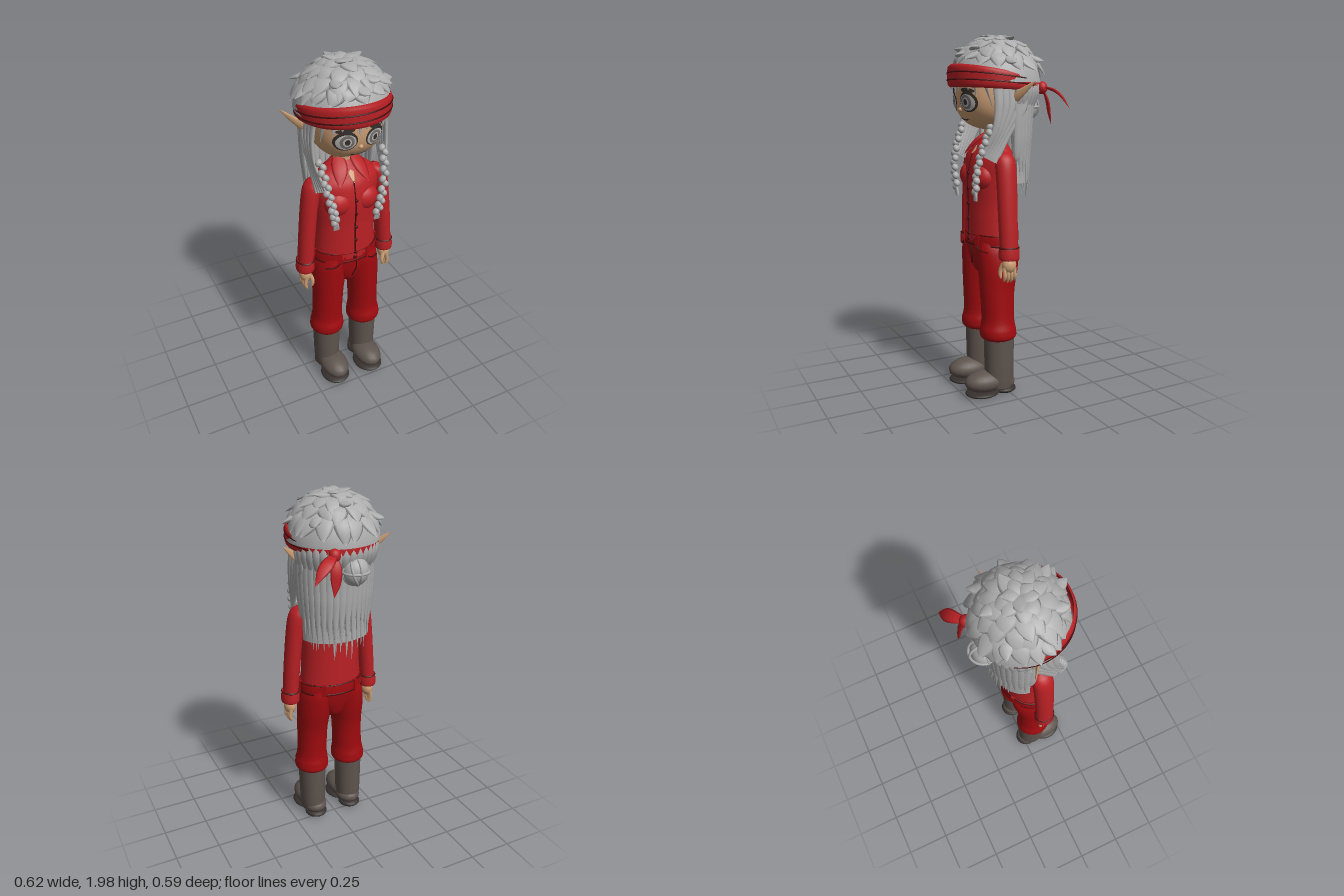
import * as THREE from 'three';
import { ParametricGeometry } from 'three/addons/geometries/ParametricGeometry.js';

const paint = (name, color) => {
  const m = new THREE.MeshStandardMaterial({ color, side: THREE.DoubleSide });
  m.name = name;
  return m;
};
const V = (x, y, z) => new THREE.Vector3(x, y, z);
const spline = (pts) => new THREE.CatmullRomCurve3(pts, false, 'catmullrom', 0.5);

// Smooth body through elliptical sections listed upward: [y, cx, cz, rx, rz]
function loft(rows, stacks = 24, slices = 32) {
  const mid = spline(rows.map((r) => V(r[1], r[0], r[2])));
  const rad = spline(rows.map((r) => V(r[3], r[4], 0)));
  return new ParametricGeometry((u, v, p) => {
    const c = mid.getPoint(v), r = rad.getPoint(v), a = u * Math.PI * 2;
    p.set(c.x + Math.sin(a) * r.x, c.y, c.z + Math.cos(a) * r.y);
  }, slices, stacks);
}

// Flattened tapering lock along a path; 'out' is the thin direction
const leaf = (v) => Math.max(0.03, Math.sin(Math.PI * (0.22 + 0.78 * v)) ** 0.8);
const spike = (v) => Math.max(0.03, (1 - v) ** 0.7);
const even = () => 1;
const strandTip = (v) => Math.max(0.03, Math.min(1, (1 - v) * 2.2));
function lock(pts, out, w, t, shape = leaf, stacks = 9, slices = 8) {
  const path = spline(pts);
  return new ParametricGeometry((u, v, p) => {
    const T = path.getTangent(v), s = T.clone().cross(out).normalize();
    const n = T.clone().cross(s), a = u * Math.PI * 2, f = shape(v);
    p.copy(path.getPoint(v)).addScaledVector(s, w * f * Math.cos(a)).addScaledVector(n, t * f * Math.sin(a));
  }, slices, stacks);
}

let seed = 7;
const rand = () => (seed = (seed * 16807) % 2147483647) / 2147483647;

// Rounded boxy head surface
const HEAD = { a: 0.185, b: 0.2, c: 0.21, y: 1.68, z: 0.025, n: 2.5 };
const headZ = (x, y) => HEAD.z + HEAD.c * Math.max(0, 1 - Math.abs(x / HEAD.a) ** HEAD.n
  - Math.abs((y - HEAD.y) / HEAD.b) ** HEAD.n) ** (1 / HEAD.n);

export function createModel() {
  const root = new THREE.Group();
  const hair = paint('hairGrey', 0xacacac), shirt = paint('shirtRed', 0xb82024);
  const pants = paint('trouserRed', 0xa00b0f), skin = paint('skin', 0xcd9f75);
  const boot = paint('bootBrown', 0x5e544e), sole = paint('soleDark', 0x36302d);
  const seam = paint('seamDark', 0x420a0b), white = paint('eyeLight', 0xbcb8b5);
  const iris = paint('irisGrey', 0x75706d);
  const add = (name, geo, mat, parent = root) => {
    const m = new THREE.Mesh(geo, mat);
    m.name = name;
    parent.add(m);
    return m;
  };
  const group = (name) => {
    const g = new THREE.Group();
    g.name = name;
    root.add(g);
    return g;
  };
  const ball = (name, mat, c, r, parent = root) => {
    const m = add(name, new THREE.SphereGeometry(1, 20, 14), mat, parent);
    m.position.set(...c);
    m.scale.set(...r);
    return m;
  };

  // Shirt body, bust, collar, placket and buttons
  add('shirtBody', loft([[0.88, 0, 0.05, 0.18, 0.132], [1.0, 0, 0.05, 0.172, 0.13], [1.1, 0, 0.05, 0.17, 0.128],
    [1.22, 0, 0.053, 0.178, 0.13], [1.32, 0, 0.05, 0.188, 0.118], [1.375, 0, 0.045, 0.16, 0.095],
    [1.42, 0, 0.04, 0.1, 0.07], [1.45, 0, 0.035, 0.058, 0.055]], 36), shirt);
  add('placket', lock([V(0, 1.355, 0.157), V(0, 1.22, 0.186), V(0, 1.1, 0.181), V(0, 0.92, 0.183)], V(0, 0, 1), 0.004, 0.004, even), seam);
  for (let i = 0; i < 5; i++) ball('button', seam, [0.004, 1.25 - i * 0.083, 0.184], [0.01, 0.01, 0.006]);
  add('neck', new THREE.CylinderGeometry(0.05, 0.052, 0.14, 24).translate(0, 1.47, 0.03), skin);
  add('choker', new THREE.TorusGeometry(0.051, 0.004, 6, 28).rotateX(Math.PI / 2).translate(0, 1.43, 0.031), seam);
  add('openNeck', lock([V(0, 1.44, 0.085), V(0, 1.395, 0.122), V(0, 1.35, 0.164)], V(0, 0.6, 0.8), 0.034, 0.008, spike), skin);

  for (const s of [1, -1]) {
    ball('bust', shirt, [s * 0.075, 1.23, 0.125], [0.08, 0.075, 0.065]);
    add('collarFlap', lock([V(s * 0.045, 1.46, 0.06), V(s * 0.06, 1.41, 0.118), V(s * 0.085, 1.345, 0.168)],
      V(s * 0.3, 0.5, 0.8), 0.042, 0.009), shirt);

    // Arms
    add('sleeve', loft([[0.83, s * 0.247, 0.06, 0.043, 0.05], [1.0, s * 0.234, 0.06, 0.045, 0.053],
      [1.2, s * 0.215, 0.058, 0.046, 0.056], [1.31, s * 0.196, 0.056, 0.048, 0.056],
      [1.355, s * 0.182, 0.054, 0.035, 0.042], [1.375, s * 0.172, 0.05, 0.004, 0.004]]), shirt);
    add('cuff', loft([[0.805, s * 0.248, 0.06, 0.03, 0.035], [0.81, s * 0.248, 0.06, 0.05, 0.056],
      [0.868, s * 0.246, 0.06, 0.049, 0.055], [0.872, s * 0.246, 0.06, 0.04, 0.045]]), shirt);
    add('cuffSeam', loft([[0.866, s * 0.246, 0.06, 0.048, 0.055], [0.87, s * 0.246, 0.06, 0.051, 0.058],
      [0.875, s * 0.246, 0.06, 0.046, 0.052]], 6), seam);
    ball('palm', skin, [s * 0.25, 0.775, 0.062], [0.034, 0.045, 0.04]);
    for (let i = 0; i < 4; i++) {
      const z = 0.033 + i * 0.02;
      add('finger', lock([V(s * 0.255, 0.765, z), V(s * 0.262, 0.72, z), V(s * 0.252, 0.675 + Math.abs(i - 1.5) * 0.008, z)],
        V(1, 0, 0), 0.0105, 0.0115, (v) => Math.max(0.1, Math.sqrt(1 - v ** 4))), skin);
    }
    add('thumb', lock([V(s * 0.232, 0.78, 0.09), V(s * 0.222, 0.74, 0.1), V(s * 0.23, 0.7, 0.1)],
      V(1, 0, 0), 0.012, 0.012, (v) => Math.max(0.1, Math.sqrt(1 - v ** 4))), skin);

    // Trouser legs and boots
    add('trouserLeg', loft([[0.325, s * 0.12, 0.06, 0.07, 0.075], [0.345, s * 0.12, 0.06, 0.096, 0.1],
      [0.385, s * 0.12, 0.063, 0.097, 0.102], [0.45, s * 0.117, 0.062, 0.087, 0.092], [0.6, s * 0.112, 0.063, 0.087, 0.098],
      [0.72, s * 0.106, 0.055, 0.094, 0.112], [0.82, s * 0.1, 0.05, 0.09, 0.12], [0.88, s * 0.09, 0.047, 0.08, 0.115]], 32), pants);
    add('pocketSeam', lock([V(s * 0.085, 0.857, 0.171), V(s * 0.115, 0.838, 0.169), V(s * 0.16, 0.83, 0.14)], V(0, 0, 1), 0.003, 0.006, even), seam);
    add('bootShaft', loft([[0.05, s * 0.118, 0.055, 0.07, 0.08], [0.12, s * 0.12, 0.055, 0.074, 0.083],
      [0.35, s * 0.121, 0.057, 0.08, 0.086]]), boot);
    ball('bootFoot', boot, [s * 0.112, 0.087, 0.135], [0.081, 0.062, 0.125]);
    ball('bootHeel', boot, [s * 0.115, 0.07, 0.045], [0.072, 0.05, 0.085]);
    const base = ball('bootSole', sole, [s * 0.112, 0.024, 0.155], [0.085, 0.02, 0.1]);
    base.rotation.y = s * 0.1;
    ball('bootHeelPad', sole, [s * 0.115, 0.026, 0.022], [0.066, 0.023, 0.068]);

    // Pointed ears
    add('ear', lock([V(s * 0.165, 1.63, 0.02), V(s * 0.225, 1.665, 0.0), V(s * 0.31, 1.735, -0.055)],
      V(s * 0.2, -0.35, 0.9), 0.042, 0.016, spike, 12, 12), skin);

    // Eyes and brows laid on the face
    const plate = (name, mat, x, y, rx, ry, off, tilt = 0) => {
      const g = new THREE.RingGeometry(0.001, 1, 28, 5).scale(rx, ry, 1).rotateZ(tilt).translate(x, y, 0);
      const p = g.attributes.position;
      for (let i = 0; i < p.count; i++) p.setZ(i, headZ(p.getX(i), p.getY(i)) + off);
      g.computeVertexNormals();
      add(name, g, mat);
    };
    plate('eyeOutline', sole, s * 0.08, 1.632, 0.058, 0.054, 0.003);
    plate('eyeWhite', white, s * 0.079, 1.628, 0.049, 0.043, 0.005);
    plate('iris', iris, s * 0.076, 1.63, 0.035, 0.037, 0.007);
    plate('irisLight', white, s * 0.076, 1.629, 0.021, 0.024, 0.008);
    plate('pupil', sole, s * 0.076, 1.63, 0.013, 0.016, 0.009);
    plate('eyebrow', sole, s * 0.085, 1.69, 0.044, 0.013, 0.006, s * -0.1);
  }

  // Hips, fly and belt
  add('trouserHips', loft([[0.665, 0, 0.05, 0.012, 0.03], [0.7, 0, 0.05, 0.06, 0.085], [0.76, 0, 0.05, 0.12, 0.11],
    [0.83, 0, 0.048, 0.176, 0.124], [0.89, 0, 0.046, 0.18, 0.13]]), pants);
  add('fly', lock([V(0.012, 0.86, 0.176), V(0.016, 0.8, 0.168), V(-0.005, 0.745, 0.16)], V(0, 0, 1), 0.003, 0.006, even), seam);
  const ring = (name, y, h, r, mat) => add(name, loft([[y - h, 0, 0.046, r - 0.015, r - 0.064], [y - h * 0.9, 0, 0.046, r, r - 0.054],
    [y + h * 0.9, 0, 0.046, r - 0.002, r - 0.056], [y + h, 0, 0.046, r - 0.015, r - 0.064]], 14, 40), mat);
  ring('belt', 0.887, 0.032, 0.189, pants);
  ring('beltLowerSeam', 0.862, 0.005, 0.191, seam);
  ring('beltUpperSeam', 0.917, 0.003, 0.189, seam);
  ball('beltButton', seam, [0, 0.888, 0.183], [0.011, 0.011, 0.006]);
  for (const a of [0.45, -0.45, 1.5, -1.5, 2.6, -2.6]) {
    const b = add('beltLoop', new THREE.BoxGeometry(0.022, 0.07, 0.014), pants);
    b.position.set(Math.sin(a) * 0.188, 0.887, 0.046 + Math.cos(a) * 0.134);
    b.rotation.y = a;
  }

  // Head, nose and mouth
  const hg = new THREE.SphereGeometry(1, 40, 28), hp = hg.attributes.position;
  for (let i = 0; i < hp.count; i++) {
    const p = V(0, 0, 0).fromBufferAttribute(hp, i);
    const k = (Math.abs(p.x) ** HEAD.n + Math.abs(p.y) ** HEAD.n + Math.abs(p.z) ** HEAD.n) ** (-1 / HEAD.n);
    hp.setXYZ(i, p.x * k * HEAD.a, HEAD.y + p.y * k * HEAD.b, HEAD.z + p.z * k * HEAD.c);
  }
  hg.computeVertexNormals();
  add('head', hg, skin);
  ball('nose', skin, [0, 1.59, headZ(0, 1.59)], [0.013, 0.012, 0.014]);
  add('mouth', lock([-0.042, -0.02, 0, 0.02, 0.042].map((x, i) => {
    const y = 1.54 + (i % 4 ? -0.003 : 0.003);
    return V(x, y, headZ(x, y));
  }), V(0, 0, 1), 0.004, 0.004, even), sole);

  // Hair cap covered in rows of overlapping pointed locks
  const hairGroup = group('hair');
  const onCap = (pol, az, k) => V(0.25 * k * Math.sin(pol) * Math.sin(az), 1.7 + 0.262 * k * Math.cos(pol), 0.015 + 0.245 * k * Math.sin(pol) * Math.cos(az));
  const cap = add('hairCap', new THREE.SphereGeometry(1, 40, 16, 0, Math.PI * 2, 0, 1.45), hair, hairGroup);
  cap.position.set(0, 1.7, 0.015);
  cap.scale.set(0.25, 0.262, 0.245);
  [[18, 0.75, 1.22, 0.05], [15, 0.5, 1.0, 0.052], [12, 0.3, 0.76, 0.052], [8, 0.12, 0.52, 0.045], [5, 0.02, 0.32, 0.04]].forEach(([n, p0, p1, w], row) => {
    for (let i = 0; i < n; i++) {
      const az = ((i + row * 0.5 + rand() * 0.5) / n) * Math.PI * 2;
      const end = p1 - (row === 0 ? 0.14 * Math.cos(az) : 0) + (rand() - 0.5) * 0.1;
      const flare = 1.06 + rand() * rand() * (row === 0 ? 0.22 : 0.13), twist = (rand() - 0.5) * 0.3;
      add('capLock', lock([onCap(p0, az, 0.99), onCap((p0 + end) / 2, az + twist * 0.3, 1.035), onCap(end, az + twist, flare)],
        onCap(p1, az, 1).sub(V(0, 1.7, 0.015)), w, 0.014), hair, hairGroup);
    }
  });
  // Stray tufts: [polar, azimuth]
  for (const [p, a] of [[0.62, 3.1], [0.75, 0.45], [0.75, -0.6], [1.05, 1.45], [1.05, -1.45], [1.0, 2.3], [1.0, -2.3], [0.9, 0.05]]) {
    add('tuft', lock([onCap(p - 0.15, a, 1), onCap(p, a, 1.08), onCap(p + 0.1, a + 0.06, 1.21)], onCap(p, a, 1).sub(V(0, 1.7, 0)), 0.034, 0.014), hair, hairGroup);
  }
  // Fringe below the headband
  [-0.165, -0.135, -0.1, -0.015, 0.02, 0.1, 0.135, 0.165].forEach((x, i) => {
    const tip = [1.6, 1.66, 1.69, 1.66, 1.685, 1.69, 1.66, 1.6][i];
    add('fringeLock', lock([V(x, 1.78, headZ(x, 1.74) + 0.015), V(x, 1.72, headZ(x, 1.72) + 0.014), V(x * 1.03, tip, headZ(x * 1.03, tip) + 0.012)],
      V(x * 2, 0, 1), 0.022, 0.009, spike), hair, hairGroup);
  });

  // Long back hair: nape shell, short upper locks and two layers of straight strands
  const nape = add('napeHair', new THREE.SphereGeometry(1, 28, 18, Math.PI * 0.95, Math.PI * 1.1, 0.5, 1.9), hair, hairGroup);
  nape.rotation.y = Math.PI;
  nape.rotation.y = 0;
  nape.geometry.dispose();
  nape.geometry = new ParametricGeometry((u, v, p) => {
    const a = Math.PI * (0.52 + 0.96 * u), y = 1.2 + 0.54 * v;
    p.set(Math.sin(a) * 0.195, y, -0.005 + Math.cos(a) * (0.145 + 0.045 * Math.max(0, v - 0.6) / 0.4));
  }, 28, 12);
  for (let layer = 0; layer < 2; layer++) {
    const n = 19 - layer * 2;
    for (let i = 0; i < n; i++) {
      const q = (i / (n - 1)) * 2 - 1, a = Math.PI * (1 - 0.49 * q), r = 1 - layer * 0.06;
      const x = Math.sin(a) * 0.2 * r, z = -0.005 + Math.cos(a) * 0.155 * r;
      const tip = 1.09 + 0.12 * q * q + rand() * 0.11;
      add('backStrand', lock([V(x * 1.04, 1.72, z * 1.15), V(x * 1.05, 1.55, z * 1.05), V(x, 1.36, z), V(x * 0.96, tip, z * 0.98)],
        V(Math.sin(a), 0, Math.cos(a)), 0.026, 0.013, strandTip, 14), hair, hairGroup);
      if (layer === 0) add('napeLock', lock([V(x * 1.1, 1.73, z * 1.28), V(x * 1.1, 1.67, z * 1.26), V(x * 1.04, 1.58, z * 1.08)],
        V(Math.sin(a), 0, Math.cos(a)), 0.026, 0.016), hair, hairGroup);
    }
  }
  // Side locks gathered into braids
  for (const s of [1, -1]) {
    for (let i = 0; i < 5; i++) {
      const z = 0.1 - i * 0.035;
      add('sideLock', lock([V(s * 0.195, 1.72, z), V(s * 0.208, 1.6, z), V(s * 0.203, 1.48, z * 0.6 + 0.06), V(s * (0.172 + i * 0.006), 1.35 - i * 0.008, 0.175 - i * 0.014)],
        V(1, 0, 0.2), 0.028, 0.015, (v) => 1 - 0.45 * v, 12), hair, hairGroup);
    }
    const braid = spline([V(s * 0.18, 1.5, 0.135), V(s * 0.168, 1.38, 0.18), V(s * 0.145, 1.26, 0.2), V(s * 0.124, 1.16, 0.197)]);
    for (let i = 0; i < 15; i++) {
      const p = braid.getPoint(i / 14), side = i % 2 ? 1 : -1;
      const b = ball('braidPlait', hair, [p.x + side * 0.009, p.y, p.z], [0.017, 0.021, 0.019], hairGroup);
      b.rotation.z = side * 0.6;
    }
    for (let i = -1; i < 2; i++) add('braidEnd', lock([V(s * 0.123, 1.165, 0.197), V(s * 0.122 + i * 0.008, 1.14, 0.197), V(s * 0.12 + i * 0.012, 1.112, 0.195)],
      V(0, 0, 1), 0.01, 0.01, (v) => 1 - 0.4 * v), hair, hairGroup);
  }
  // Crossed bun on the nape
  ball('bun', hair, [-0.025, 1.6, -0.19], [0.072, 0.075, 0.062], hairGroup);
  for (const [rx, ry, rz] of [[0, 0, 0], [0, Math.PI / 2, 0], [Math.PI / 2, 0, 0], [0.5, 0.9, 0]]) {
    const t = add('bunBand', new THREE.TorusGeometry(0.07, 0.007, 8, 32), hair, hairGroup);
    t.position.set(-0.025, 1.6, -0.19);
    t.rotation.set(rx, ry, rz);
  }

  // Headband: tall in front, narrow and lower at the back
  const band = group('headband');
  const bandAt = (a, t, k) => {
    const f = (Math.cos(a) + 1) / 2;
    return V(Math.sin(a) * 0.24 * k, 1.712 + 0.056 * f + t * (0.03 + 0.03 * f), 0.03 + Math.cos(a) * 0.243 * k);
  };
  add('bandCloth', new ParametricGeometry((u, v, p) => {
    const t = v * 2 - 1;
    p.copy(bandAt(u * Math.PI * 2, t, 0.955 + 0.065 * Math.sqrt(Math.max(0, 1 - t ** 4))));
  }, 56, 12), shirt, band);
  for (const k of [0, 1]) {
    const pts = Array.from({ length: 25 }, (_, i) => {
      const a = -2.2 + (i / 24) * 4.4;
      return bandAt(a, (k ? 0.3 : -0.35) + 0.14 * a * (k ? 1 : 0.8) * 0.8, 1.02);
    });
    add('bandFold', new THREE.TubeGeometry(spline(pts), 60, 0.004, 5), seam, band);
  }
  // Knot and its two tails
  ball('knot', shirt, [0.105, 1.705, -0.215], [0.032, 0.035, 0.03], band);
  add('longTail', lock([V(0.105, 1.71, -0.215), V(0.16, 1.69, -0.262), V(0.21, 1.65, -0.285), V(0.253, 1.595, -0.3)],
    V(0.3, 0.6, -0.5), 0.034, 0.008, (v) => Math.max(0.05, Math.sin(Math.PI * (0.12 + 0.88 * v)))), shirt, band);
  add('shortTail', lock([V(0.105, 1.71, -0.215), V(0.112, 1.64, -0.245), V(0.118, 1.57, -0.255), V(0.13, 1.505, -0.262)],
    V(0.3, 0, -1), 0.03, 0.008, (v) => Math.max(0.05, Math.sin(Math.PI * (0.12 + 0.88 * v)))), shirt, band);

  return root;
}
